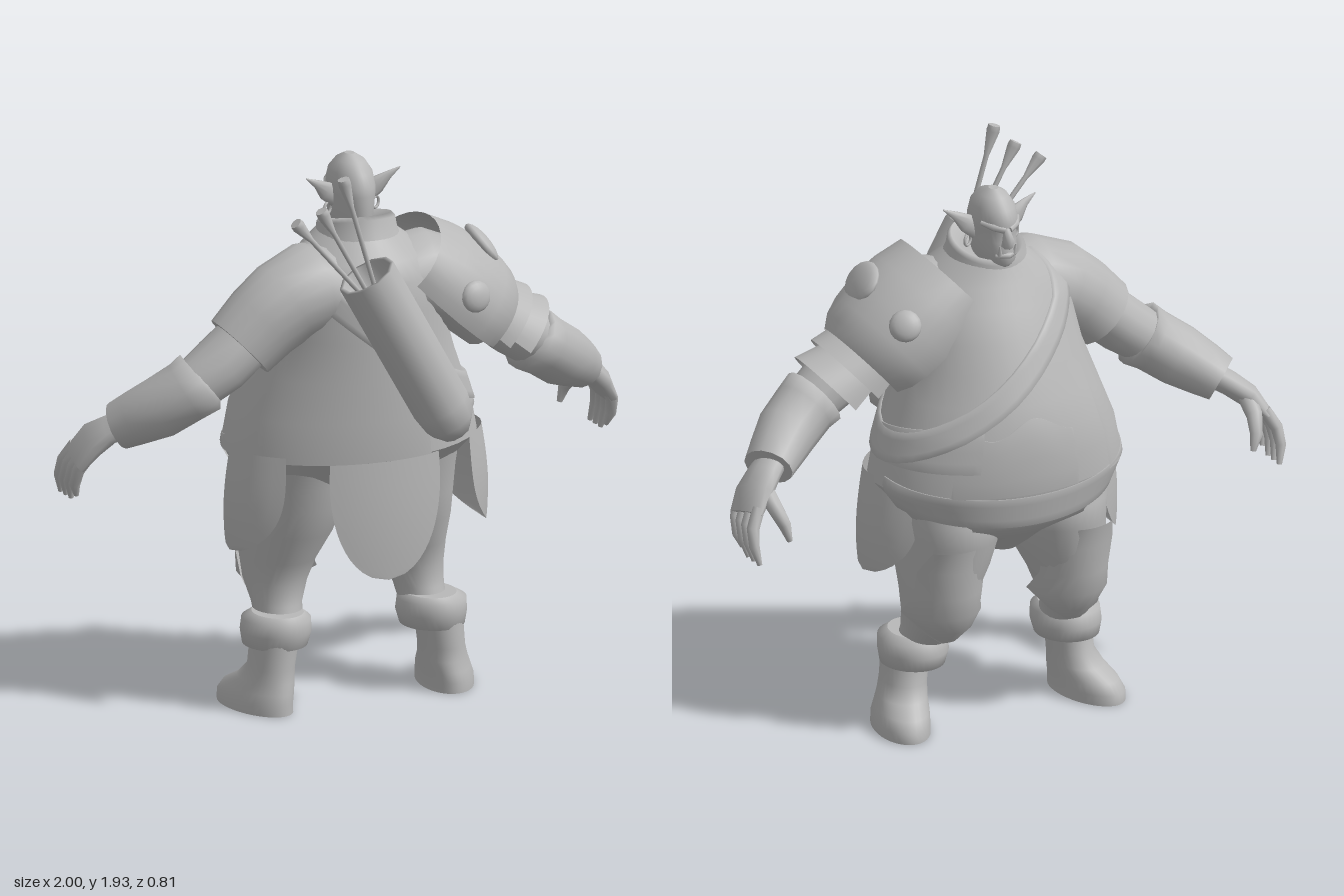
import * as THREE from 'three';

const clay = new THREE.MeshStandardMaterial({ color: 0xb8b8b8, side: THREE.DoubleSide });
clay.name = 'warmGrey';
const V = (x, y, z) => new THREE.Vector3(x, y, z);

function add(parent, name, geometry) {
  const mesh = new THREE.Mesh(geometry, clay);
  mesh.name = name;
  parent.add(mesh);
  return mesh;
}

// Skin a list of equal-length point rows; closed rows form a tube, caps fill the ends.
function loft(rows, closed = true, caps = closed) {
  const n = rows[0].length, pos = [], idx = [];
  rows.forEach(r => r.forEach(p => pos.push(p.x, p.y, p.z)));
  for (let i = 0; i < rows.length - 1; i++)
    for (let j = 0; j < (closed ? n : n - 1); j++) {
      const k = (j + 1) % n, a = i * n + j, b = i * n + k;
      idx.push(a, b, a + n, b, b + n, a + n);
    }
  if (caps) [rows[0], rows[rows.length - 1]].forEach((r, e) => {
    const base = pos.length / 3, c = V(0, 0, 0);
    r.forEach(p => { c.addScaledVector(p, 1 / n); pos.push(p.x, p.y, p.z); });
    pos.push(c.x, c.y, c.z);
    for (let j = 0; j < n; j++) {
      const a = base + j, b = base + (j + 1) % n;
      e ? idx.push(a, b, base + n) : idx.push(b, a, base + n);
    }
  });
  const g = new THREE.BufferGeometry();
  g.setAttribute('position', new THREE.Float32BufferAttribute(pos, 3));
  g.setIndex(idx);
  g.computeVertexNormals();
  return g;
}

// Horizontal ring, optionally skewed sideways or tilted along z.
function ring(x, y, z, rx, rz, skew = 0, tilt = 0, n = 36) {
  return Array.from({ length: n }, (_, j) => {
    const a = j / n * Math.PI * 2, dz = rz * Math.cos(a);
    return V(x + rx * Math.sin(a) - skew * dz, y + tilt * dz, z + dz);
  });
}
const stack = list => loft(list.map(s => ring(...s)));

// Tube through [x, y, z, radius, radius towards z] sections.
function limb(list, n = 14) {
  const p = list.map(s => V(s[0], s[1], s[2]));
  return loft(list.map((s, i) => {
    const t = p[Math.min(i + 1, p.length - 1)].clone().sub(p[Math.max(i - 1, 0)]).normalize();
    const e1 = V(0, 0, 1).addScaledVector(t, -t.z).normalize(), e2 = t.clone().cross(e1);
    return Array.from({ length: n }, (_, j) => {
      const a = j / n * Math.PI * 2;
      return p[i].clone().addScaledVector(e1, Math.cos(a) * (s[4] ?? s[3])).addScaledVector(e2, Math.sin(a) * s[3]);
    });
  }));
}

// Torso profile: [height, half width, z of belly side, z of back]
const TORSO = [[0.77, 0.36, -0.375, 0.12], [0.9, 0.445, -0.398, 0.25], [1.0, 0.425, -0.4, 0.25], [1.1, 0.39, -0.39, 0.25],
  [1.2, 0.35, -0.36, 0.25], [1.3, 0.315, -0.32, 0.25], [1.4, 0.3, -0.28, 0.25], [1.5, 0.28, -0.23, 0.24],
  [1.57, 0.22, -0.19, 0.21], [1.64, 0.13, -0.16, 0.14]];
function onTorso(a, y, off = 0) {
  let i = 0;
  while (i < TORSO.length - 2 && y > TORSO[i + 1][0]) i++;
  const f = (y - TORSO[i][0]) / (TORSO[i + 1][0] - TORSO[i][0]);
  const [, w, zf, zb] = TORSO[i].map((v, k) => THREE.MathUtils.lerp(v, TORSO[i + 1][k], f));
  return V((w + off) * Math.sin(a), y, (zf + zb) / 2 + ((zb - zf) / 2 + off) * Math.cos(a));
}
const torsoRing = y => Array.from({ length: 36 }, (_, j) => onTorso(j / 18 * Math.PI, y));

// Thin band lying on the torso between two height functions.
function band(low, high, a0, a1, off) {
  return loft([0, 0, 0.25, 0.5, 0.75, 1, 1].map((v, k) => Array.from({ length: 41 }, (_, j) => {
    const a = a0 + (a1 - a0) * j / 40;
    return onTorso(a, THREE.MathUtils.lerp(low(a), high(a), v), k % 6 ? off : 0);
  })), false);
}

// Hanging cloth panel with a rounded tip, facing +z and curling back at its edges.
function flap(W, L, flare, bulge, power) {
  const rows = [];
  for (let i = 14; i >= 0; i--) {
    const t = 1 - (1 - i / 14) ** 1.3, w = W * (0.92 + 0.2 * t) * Math.sqrt(1 - t ** power);
    rows.push(Array.from({ length: 13 }, (_, j) => {
      const x = w * (j / 6 - 1);
      return V(x, -L * t, flare * Math.sin(t * 2.4) - bulge * (x / W) ** 2);
    }));
  }
  return loft(rows, false);
}

function buildLeg() {
  const leg = new THREE.Group();
  add(leg, 'trouserLeg', stack([[0.265, 0.28, -0.05, 0.08, 0.085], [0.26, 0.35, -0.09, 0.083, 0.1],
    [0.25, 0.42, -0.125, 0.105, 0.125], [0.237, 0.5, -0.13, 0.125, 0.155], [0.215, 0.6, -0.115, 0.155, 0.187],
    [0.2, 0.7, -0.108, 0.172, 0.215], [0.197, 0.78, -0.105, 0.18, 0.226], [0.195, 0.92, -0.06, 0.185, 0.22]]));
  // Knee guard: [height, z centre, half width, depth, half angle]
  const guard = [[0.33, -0.1, 0.1, 0.105, 0.25], [0.38, -0.12, 0.115, 0.135, 0.9], [0.44, -0.13, 0.14, 0.155, 1.6],
    [0.52, -0.13, 0.14, 0.172, 1.15], [0.62, -0.115, 0.16, 0.197, 0.95], [0.7, -0.108, 0.178, 0.221, 0.6]];
  add(leg, 'kneeGuard', loft(guard.map(([y, z, rx, rz, h]) => Array.from({ length: 11 }, (_, j) => {
    const a = Math.PI + h * (j / 5 - 1);
    return V(0.235 + rx * Math.sin(a), y, z + rz * Math.cos(a));
  })), false));
  add(leg, 'bootCuff', stack([[0.29, 0.215, -0.035, 0.085, 0.1], [0.288, 0.22, -0.04, 0.108, 0.12],
    [0.285, 0.265, -0.04, 0.118, 0.13], [0.285, 0.31, -0.035, 0.115, 0.125], [0.28, 0.33, -0.035, 0.085, 0.1]]));
  add(leg, 'boot', stack([[0.347, 0, -0.07, 0.096, 0.17, 0.15], [0.347, 0.035, -0.07, 0.095, 0.17, 0.15],
    [0.338, 0.07, -0.06, 0.09, 0.155, 0.15], [0.324, 0.105, -0.035, 0.083, 0.12, 0.1], [0.312, 0.15, -0.018, 0.076, 0.098],
    [0.3, 0.25, -0.015, 0.08, 0.095]]));
  return leg;
}

function buildArm() {
  const arm = new THREE.Group();
  add(arm, 'sleeve', limb([[0.1, 1.46, 0.04, 0.14, 0.16], [0.2, 1.475, 0.05, 0.15, 0.17], [0.3, 1.435, 0.06, 0.145, 0.155],
    [0.38, 1.375, 0.057, 0.138, 0.138], [0.46, 1.3, 0.055, 0.128, 0.128]], 18));
  add(arm, 'elbow', limb([[0.42, 1.34, 0.06, 0.1], [0.53, 1.25, 0.06, 0.1, 0.11], [0.64, 1.17, 0.05, 0.09]]));
  add(arm, 'bracer', limb([[0.6, 1.2, 0.055, 0.085], [0.605, 1.195, 0.055, 0.115, 0.115], [0.65, 1.165, 0.045, 0.107, 0.11],
    [0.73, 1.11, 0.01, 0.106, 0.105], [0.8, 1.065, -0.045, 0.092, 0.095], [0.845, 1.035, -0.08, 0.08, 0.09]]));
  add(arm, 'palm', limb([[0.82, 1.05, -0.06, 0.045, 0.06], [0.87, 1.02, -0.095, 0.042, 0.07],
    [0.92, 0.98, -0.128, 0.04, 0.088], [0.965, 0.915, -0.155, 0.028, 0.085]], 12));
  for (let i = 0; i < 4; i++) {
    const z = -0.08 - i * 0.042, drop = i === 0 ? 0.02 : 0;
    add(arm, 'finger', limb([[0.945, 0.95, z, 0.022], [0.978, 0.89, z - 0.025, 0.022], [0.983, 0.835, z - 0.045, 0.019],
      [0.97, 0.772 + drop, z - 0.06, 0.009]], 8));
  }
  add(arm, 'thumb', limb([[0.9, 1.0, -0.15, 0.032], [0.895, 0.95, -0.23, 0.028], [0.88, 0.9, -0.275, 0.022], [0.865, 0.845, -0.28, 0.01]], 8));
  return arm;
}

function buildHead() {
  const head = new THREE.Group();
  head.name = 'head';
  add(head, 'skull', stack([[1.58, 0.06, -0.12, 0.05], [1.63, 0.05, -0.165, 0.045], [1.65, 0.06, -0.182, 0.045],
    [1.69, 0.068, -0.185, 0.05], [1.72, 0.07, -0.175, 0.052], [1.76, 0.074, -0.172, 0.053], [1.785, 0.076, -0.18, 0.05],
    [1.83, 0.068, -0.165, 0.035], [1.865, 0.046, -0.13, 0.0], [1.885, 0.016, -0.09, -0.05]]
    .map(([y, w, f, b]) => [0, y, (f + b) / 2, w, (b - f) / 2])));
  add(head, 'nose', limb([[0, 1.772, -0.165, 0.012], [0, 1.735, -0.182, 0.02, 0.024], [0, 1.712, -0.172, 0.022]], 8));
  add(head, 'lowerLip', limb([[-0.035, 1.676, -0.16, 0.008], [0, 1.68, -0.187, 0.011], [0.035, 1.676, -0.16, 0.008]], 8));
  [-1, 1].forEach(s => {
    add(head, 'ear', limb([[s * 0.055, 1.735, -0.06, 0.032, 0.018], [s * 0.09, 1.765, -0.055, 0.034, 0.016],
      [s * 0.13, 1.797, -0.045, 0.015, 0.01], [s * 0.172, 1.822, -0.04, 0.002]], 10));
    add(head, 'brow', limb([[s * 0.008, 1.768, -0.174, 0.012], [s * 0.04, 1.778, -0.158, 0.013], [s * 0.066, 1.785, -0.115, 0.009]], 8));
    add(head, 'tusk', limb([[s * 0.026, 1.68, -0.172, 0.009], [s * 0.03, 1.715, -0.18, 0.002]], 6));
    const hoop = add(head, 'earring', new THREE.TorusGeometry(0.02, 0.005, 6, 14));
    hoop.position.set(s * 0.088, 1.705, -0.055);
    hoop.rotation.y = 0.6;
  });
  return head;
}

function buildPauldron() {
  const g = new THREE.Group();
  g.name = 'shoulderArmour';
  const d = V(0.75, -0.66, 0), u = V(0.66, 0.75, 0);
  const at = (s, ru, rz, a) => V(0.2, 1.47, 0.05).addScaledVector(d, s).addScaledVector(u, ru * Math.cos(a)).add(V(0, 0, rz * Math.sin(a)));
  const shell = (name, list, h) => add(g, name, loft(list.map(([s, ru, rz]) =>
    Array.from({ length: 19 }, (_, j) => at(s, ru, rz, h * (1 - j / 9)))), false));
  shell('shoulderPlate', [[-0.1, 0.175, 0.23], [0, 0.205, 0.25], [0.1, 0.218, 0.255], [0.19, 0.213, 0.245],
    [0.25, 0.2, 0.225], [0.295, 0.175, 0.19]], 1.85);
  shell('upperLame', [[0.25, 0.16, 0.165], [0.355, 0.195, 0.175]], 1.65);
  shell('lowerLame', [[0.33, 0.15, 0.15], [0.435, 0.2, 0.165]], 1.5);
  // Round bosses on the top, front and back of the plate
  [[0.1, 0.15, 0.075, 0.1, 0.2], [0.09, 1.35, 0.055, 0.055, 0], [0.12, -0.95, 0.055, 0.055, 0]].forEach(([s, a, w, l, lean]) => {
    const boss = add(g, 'boss', new THREE.SphereGeometry(1, 16, 10));
    boss.position.copy(at(s, 0.21, 0.25, a));
    const out = u.clone().multiplyScalar(Math.cos(a) / 0.218).add(V(0, 0, Math.sin(a) / 0.25)).normalize().addScaledVector(d, lean).normalize();
    const side = d.clone().addScaledVector(out, -d.dot(out)).normalize();
    boss.quaternion.setFromRotationMatrix(new THREE.Matrix4().makeBasis(side, out, side.clone().cross(out)));
    boss.scale.set(w, 0.028, l);
  });
  return g;
}

function buildQuiver() {
  const g = new THREE.Group();
  g.name = 'quiver';
  const profile = [[0, 0], [0.05, 0.01], [0.088, 0.06], [0.1, 0.13], [0.102, 0.687], [0.088, 0.687], [0.085, 0.5], [0, 0.5]];
  const body = add(g, 'quiverCase', new THREE.LatheGeometry(profile.map(p => new THREE.Vector2(...p)), 10));
  body.position.set(0.225, 0.975, 0.31);
  body.rotation.z = 0.51;
  body.scale.z = 0.93;
  [[-0.1, 1.48, 0.3, -0.37, 1.79, 0.31], [-0.08, 1.45, 0.34, -0.295, 1.835, 0.35], [-0.06, 1.45, 0.32, -0.2, 1.925, 0.32]]
    .forEach(([x, y, z, X, Y, Z]) => add(g, 'arrow', limb([[0, 0.008], [0.78, 0.009], [0.96, 0.023], [1, 0.021]]
      .map(([t, r]) => [x + (X - x) * t, y + (Y - y) * t, z + (Z - z) * t, r]), 8)));
  return g;
}

export function createModel() {
  const model = new THREE.Group();
  model.name = 'archer';
  const P = Math.PI;

  // Tunic and belly
  add(model, 'tunic', loft(TORSO.slice(1).map(s => torsoRing(s[0])), true, false));
  add(model, 'tunicSkirt', band(() => 0.895, () => 1.45, P * 1.25, P * 2.12, 0.006));
  add(model, 'hips', loft([ring(0, 0.62, -0.09, 0.07, 0.1), ring(0, 0.7, -0.095, 0.22, 0.18), torsoRing(0.77), torsoRing(0.83), torsoRing(0.9)]));
  add(model, 'collar', stack([[0, 1.57, 0, 0.17, 0.17, 0, 0.1], [0, 1.63, -0.015, 0.135, 0.148, 0, 0.18],
    [0, 1.67, -0.02, 0.128, 0.148, 0, 0.22], [0, 1.685, -0.02, 0.115, 0.135, 0, 0.22], [0, 1.65, -0.02, 0.085, 0.11, 0, 0.15]]));

  // Belt, waist sash, belly plates and the diagonal strap
  add(model, 'belt', band(a => 0.84 + 0.06 * Math.cos(a), a => 0.95 + 0.06 * Math.cos(a), P * 0.55, P * 1.45, 0.006));
  add(model, 'sash', band(() => 0.99, a => 1.1 - 0.05 * Math.cos(a), 0.3, P * 0.85, 0.007));
  add(model, 'bellyPlate', band(() => 0.9, a => 1.13 + 0.03 * Math.cos(a * 8), P * 0.78, P * 1.12, 0.005));
  add(model, 'strap', band(a => 1.25 - 0.26 * Math.sin(a), a => 1.35 - 0.26 * Math.sin(a), 0, P * 2, 0.012));

  // Hanging panels
  add(model, 'backFlap', flap(0.215, 0.43, 0.012, 0.035, 2)).position.set(0, 0.91, 0.24);
  [-1, 1].forEach(s => {
    const side = add(model, 'sideFlap', flap(0.19, 0.35, 0.025, 0.13, 3));
    side.position.set(s * 0.446, 0.92, -0.02);
    side.rotation.y = s * P / 2;
  });

  // Mirrored limbs
  [['left', 1], ['right', -1]].forEach(([name, s]) => {
    [['Leg', buildLeg()], ['Arm', buildArm()]].forEach(([part, limbGroup]) => {
      limbGroup.name = name + part;
      limbGroup.scale.x = s;
      model.add(limbGroup);
    });
  });

  model.add(buildHead(), buildPauldron(), buildQuiver());
  return model;
}
